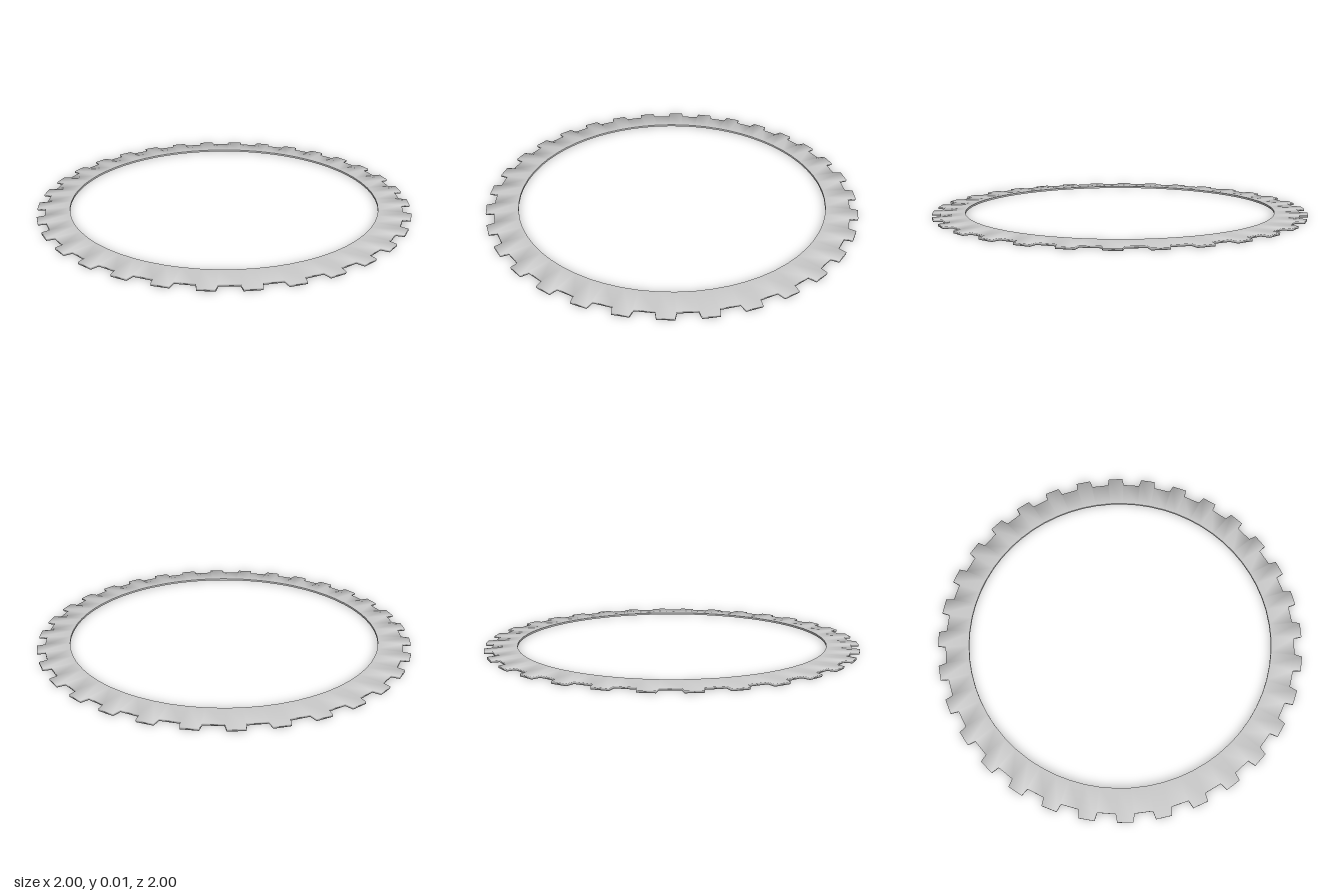
import * as THREE from 'three';

const TEETH = 32, THICKNESS = 0.011;
const INNER = 0.832, ROOT = 0.96, TIP = 1.0016;

// Four outline corners per tooth: [angle offset in degrees, radius, flank side]
const TOOTH = [[-2.85, ROOT, -1], [-2.35, TIP, -1], [2.35, TIP, 1], [2.85, ROOT, 1]];

// Sweeps a flat cross-section around y; the outer rim has softened normals, the bore is crisp
function toothedRing() {
  const position = [], normal = [], index = [];
  const v = new THREE.Vector3();
  const add = (r, y, a, radial, tangent, up) => {
    const s = Math.sin(a), c = Math.cos(a);
    position.push(r * s, y, r * c);
    v.set(radial * s + tangent * c, up, radial * c - tangent * s).normalize();
    normal.push(v.x, v.y, v.z);
  };

  for (let t = 0; t < TEETH; t++) {
    for (const [offset, r, side] of TOOTH) {
      const a = THREE.MathUtils.degToRad((t + 0.5) * 360 / TEETH + offset);
      add(INNER, THICKNESS, a, 0, 0, 1); // top face, bore edge
      add(r, THICKNESS, a, 1, side, 1.8); // top face, rim edge
      add(r, 0, a, 1, side, -1.8); // underside, rim edge
      add(INNER, 0, a, 0, 0, -1); // underside, bore edge
      add(INNER, 0, a, -1, 0, 0); // bore wall
      add(INNER, THICKNESS, a, -1, 0, 0);
    }
  }

  // Top, rim, underside and bore strips
  const count = TEETH * TOOTH.length;
  for (let i = 0; i < count; i++) {
    const p = i * 6, q = ((i + 1) % count) * 6;
    for (const j of [0, 1, 2, 4]) {
      index.push(p + j, p + j + 1, q + j + 1, p + j, q + j + 1, q + j);
    }
  }

  const geometry = new THREE.BufferGeometry();
  geometry.setAttribute('position', new THREE.Float32BufferAttribute(position, 3));
  geometry.setAttribute('normal', new THREE.Float32BufferAttribute(normal, 3));
  geometry.setIndex(index);
  return geometry;
}

export function createModel() {
  const group = new THREE.Group();
  const ring = new THREE.Mesh(toothedRing(), new THREE.MeshStandardMaterial({ color: 0xcccccc }));
  ring.name = 'toothedRing';
  group.add(ring);
  return group;
}
